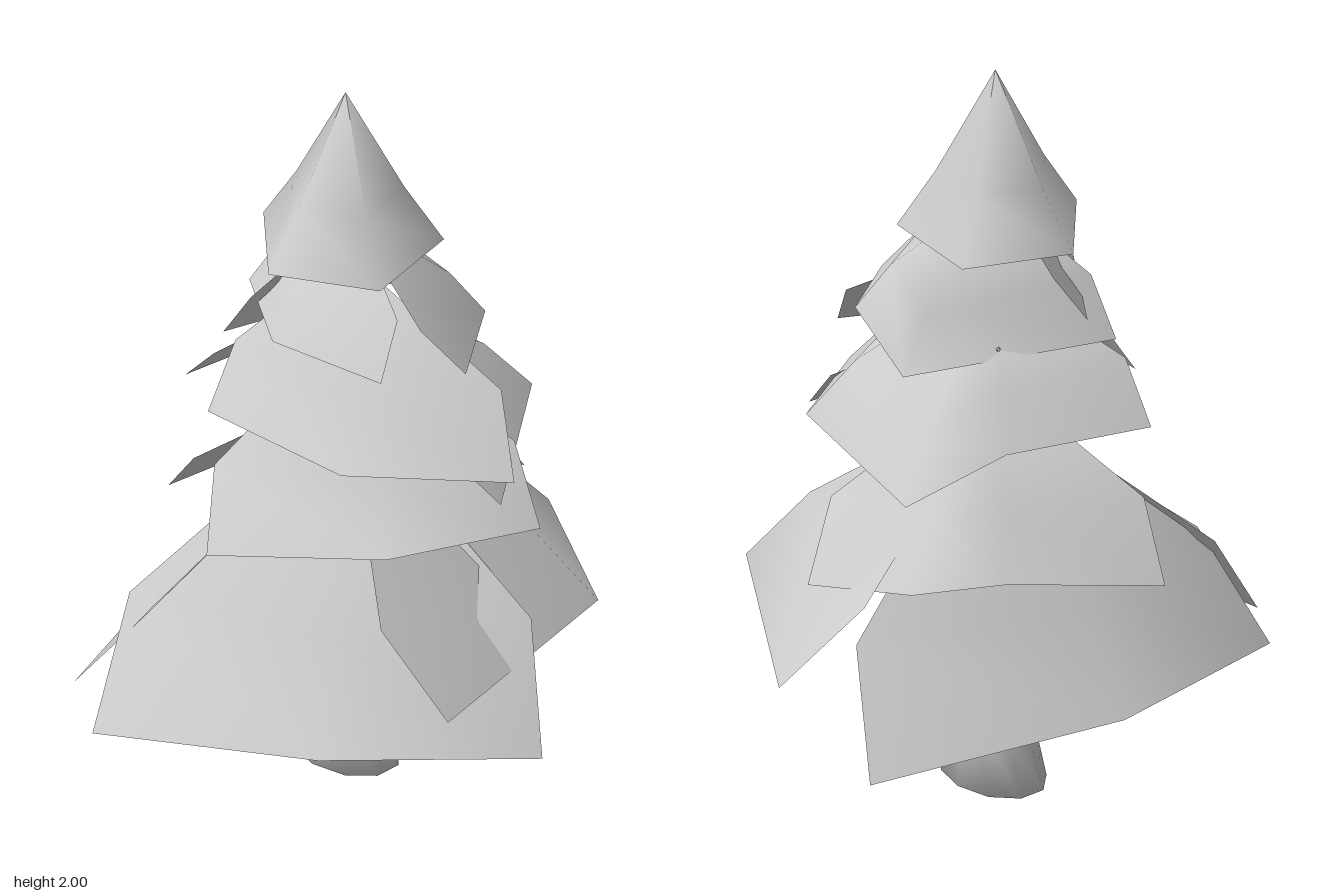
import * as THREE from 'three';

const material = new THREE.MeshStandardMaterial({ color: 0xcccccc, side: THREE.DoubleSide });
const AXIS_X = -0.08;

// Drooping sheet of boughs: an apex on the trunk, a bulging shoulder and a rim
// listed anticlockwise from above. The shoulder turns outwards at both open ends.
function boughs(name, apexY, ...rim) {
  const n = rim.length;
  const points = [[AXIS_X, apexY, 0]], index = [];
  rim.forEach(([x, y, z], i) => {
    const end = i === 0 ? -1 : i === n - 1 ? 1 : 0;
    const p = new THREE.Vector3(x - AXIS_X, 0, z)
      .multiplyScalar(end ? 0.78 : 0.74)
      .applyAxisAngle(THREE.Object3D.DEFAULT_UP, end * 0.24);
    points.push([p.x + AXIS_X, apexY + (y - apexY) * 0.62, p.z]);
  });
  points.push(...rim);
  for (let a = 1; a < n; a++) {
    index.push(0, a, a + 1, a, a + n, a + n + 1, a, a + n + 1, a + 1);
  }
  const g = new THREE.BufferGeometry();
  g.setAttribute('position', new THREE.Float32BufferAttribute(points.flat(), 3));
  g.setIndex(index);
  g.computeVertexNormals();
  const mesh = new THREE.Mesh(g, material);
  mesh.name = name;
  return mesh;
}

// Tapering trunk that leans slightly, with a foot wider across than deep
function trunk() {
  const profile = [[0, 0], [0.14, 0], [0.097, 0.16], [0.088, 0.35], [0.045, 1.25], [0, 1.5]];
  const g = new THREE.LatheGeometry(profile.map(([r, y]) => new THREE.Vector2(r, y)), 10);
  const p = g.attributes.position;
  for (let i = 0; i < p.count; i++) {
    const y = p.getY(i), foot = y < 0.1 ? 0.16 : -0.06, lean = 0.03 * (1 - y / 1.5);
    p.setX(i, p.getX(i) * (1 + foot) - 0.09 - lean);
    p.setZ(i, p.getZ(i) * (1 - foot) - lean);
  }
  const mesh = new THREE.Mesh(g, material);
  mesh.name = 'trunk';
  return mesh;
}

// Thin pointed twig from the trunk to a tip
function twig(from, to, radius) {
  const a = new THREE.Vector3(...from), b = new THREE.Vector3(...to);
  const mesh = new THREE.Mesh(new THREE.CylinderGeometry(0.004, radius, a.distanceTo(b), 6), material);
  mesh.name = 'twig';
  mesh.position.copy(a).lerp(b, 0.5);
  mesh.quaternion.setFromUnitVectors(THREE.Object3D.DEFAULT_UP, b.sub(a).normalize());
  return mesh;
}

// Five-sided pointed cap, open below
function treeTop() {
  const profile = [new THREE.Vector2(0.25, 1.55), new THREE.Vector2(0.15, 1.71), new THREE.Vector2(0, 2)];
  const mesh = new THREE.Mesh(new THREE.LatheGeometry(profile, 5, THREE.MathUtils.degToRad(67)), material);
  mesh.name = 'treeTop';
  mesh.position.x = -0.09;
  return mesh;
}

export function createModel() {
  const tree = new THREE.Group();
  tree.name = 'pineTree';
  tree.add(trunk(), treeTop());

  // Twigs half hidden between the boughs
  tree.add(twig([-0.09, 0.86, -0.02], [0, 0.98, -0.31], 0.03));
  tree.add(twig([-0.09, 1.2, 0], [-0.25, 1.3, -0.12], 0.02));

  // Bottom tier: three wide overlapping sheets
  tree.add(
    boughs('bottomFrontBoughs', 1.07, [-0.28, 0.29, 0.705], [0.31, 0.38, 0.475], [0.615, 0.31, -0.02]),
    boughs('bottomRightBoughs', 1.03, [-0.345, 0.255, -0.62], [-0.62, 0.35, -0.01], [-0.47, 0.305, 0.59]),
    boughs('bottomBackBoughs', 1.05, [0.52, 0.48, 0.22], [0.42, 0.53, -0.4], [-0.09, 0.46, -0.71]),
  );

  // Upper tiers: a back sheet and a front sheet each
  tree.add(
    boughs('secondBackBoughs', 1.12, [-0.01, 0.67, -0.55], [-0.28, 0.71, -0.43], [-0.43, 0.74, -0.245], [-0.575, 0.66, 0.16]),
    boughs('secondFrontBoughs', 1.3, [-0.065, 0.84, 0.51], [0.355, 0.92, 0.28], [0.46, 0.87, -0.16]),
    boughs('thirdBackBoughs', 1.42, [0.43, 0.975, -0.05], [0.155, 1.05, -0.42], [-0.28, 0.97, -0.45], [-0.39, 1.085, -0.21], [-0.47, 1.06, 0.2]),
    boughs('thirdFrontBoughs', 1.52, [-0.26, 1.1, 0.32], [0.21, 1.115, 0.3], [0.48, 1.065, -0.05]),
    boughs('fourthBackBoughs', 1.64, [0.29, 1.3, -0.06], [0.13, 1.32, -0.28], [-0.16, 1.265, -0.36], [-0.33, 1.255, 0.2]),
    boughs('fourthFrontBoughs', 1.68, [-0.35, 1.355, 0.09], [-0.08, 1.37, 0.265], [0.22, 1.34, 0.17]),
  );
  return tree;
}
